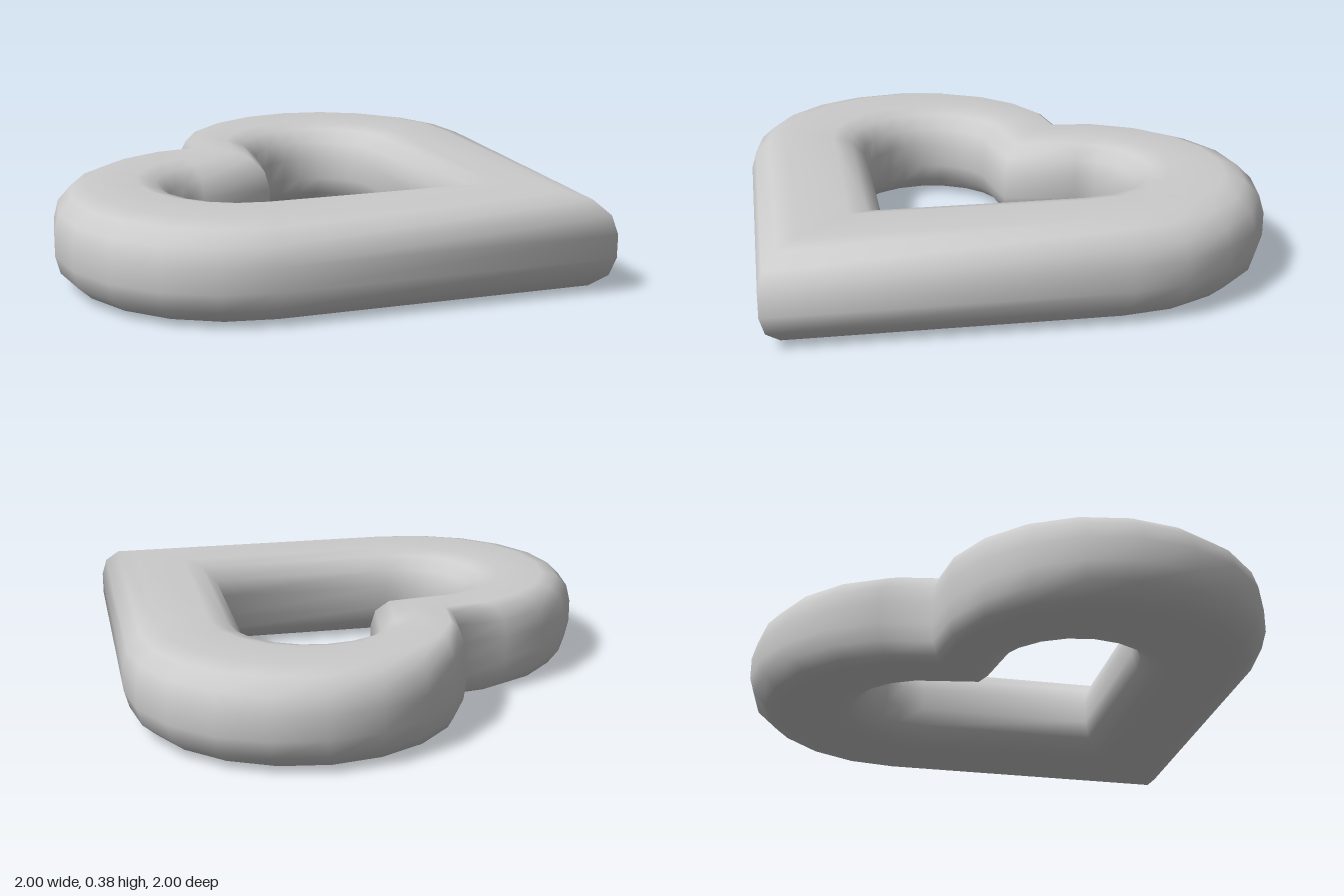
import * as THREE from 'three';

// Heart outline of half-size k in the x/z plane, as [x, z] points: a square tip and two half-circle lobes
function heart(k, steps = 10) {
  const pts = [[k, k]];
  const c = k / 3, r = (2 * k) / 3;
  const lobe = [];
  for (let i = 0; i <= steps; i++) {
    const a = (Math.PI * i) / steps;
    lobe.push([c + r * Math.cos(a), -c - r * Math.sin(a)]);
  }
  pts.push(...lobe);
  // the second lobe mirrors the first across the diagonal and shares the notch point
  for (let i = steps - 1; i >= 0; i--) pts.push([lobe[i][1], lobe[i][0]]);
  return pts;
}

// Moves a closed outline inward by d with mitred corners
function inset(pts, d) {
  const n = pts.length;
  const normal = (p, q) => {
    const dx = q[0] - p[0], dz = q[1] - p[1], l = Math.hypot(dx, dz);
    return [dz / l, -dx / l];
  };
  return pts.map((p, i) => {
    const a = normal(pts[(i + n - 1) % n], p);
    const b = normal(p, pts[(i + 1) % n]);
    const s = d / (1 + a[0] * b[0] + a[1] * b[1]);
    return [p[0] + (a[0] + b[0]) * s, p[1] + (a[1] + b[1]) * s];
  });
}

// Closed smooth skin through a loop of rings
function skin(rings) {
  const n = rings[0].points.length, m = rings.length;
  const pos = [], index = [];
  for (const { points, y } of rings) for (const [x, z] of points) pos.push(x, y, z);
  for (let j = 0; j < m; j++) {
    for (let i = 0; i < n; i++) {
      const i2 = (i + 1) % n, j2 = (j + 1) % m;
      const a = j * n + i, b = j * n + i2, c = j2 * n + i, d = j2 * n + i2;
      index.push(a, b, d, a, d, c);
    }
  }
  const geo = new THREE.BufferGeometry();
  geo.setAttribute('position', new THREE.Float32BufferAttribute(pos, 3));
  geo.setIndex(index);
  geo.computeVertexNormals();
  return geo;
}

export function createModel() {
  const group = new THREE.Group();
  group.name = 'heartRing';

  const mid = 0.1875, flat = 0.046, bevel = 0.145, steps = 3;
  const core = heart(0.757);
  const outer = [], inner = [];

  // Rounded edges: the outside shrinks towards the top, the hole widens
  for (let s = 0; s <= steps; s++) {
    const a = (s / steps) * (Math.PI / 2);
    const h = flat + (mid - flat) * Math.sin(a);
    const w = bevel * (1 - Math.cos(a));
    outer.push({ points: heart(1 - w), h });
    inner.push({ points: inset(core, 0.247 - w), h });
  }

  // Section loop: outside up, over the top, down the hole, back underneath
  const at = (sign) => ({ points, h }) => ({ points, y: mid + sign * h });
  const rings = [
    ...outer.map(at(1)),
    ...[...inner].reverse().map(at(1)),
    ...inner.map(at(-1)),
    ...[...outer].reverse().map(at(-1)),
  ];

  const material = new THREE.MeshStandardMaterial({ color: 0xcccccc });
  const ring = new THREE.Mesh(skin(rings), material);
  ring.name = 'heartBand';
  group.add(ring);
  return group;
}
